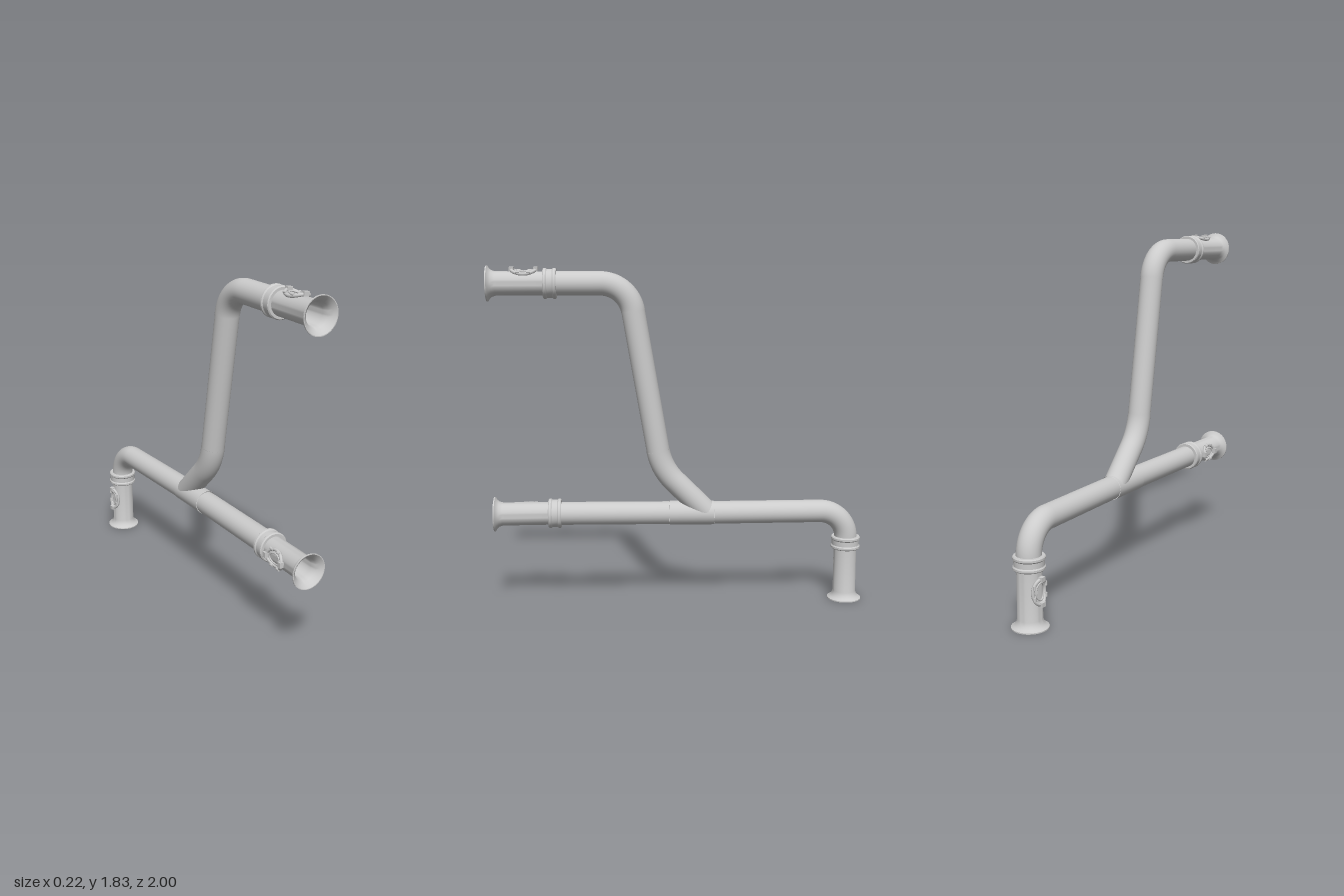
import * as THREE from 'three';
import { toCreasedNormals } from 'three/addons/utils/BufferGeometryUtils.js';

const mat = new THREE.MeshStandardMaterial({ color: 0xcccccc, side: THREE.DoubleSide });
const V = (x, y, z) => new THREE.Vector3(x, y, z);

function add(parent, name, geometry) {
  const mesh = new THREE.Mesh(geometry, mat);
  mesh.name = name;
  parent.add(mesh);
  return mesh;
}

// Straight piece of pipe between two points
function straight(parent, name, a, b, r) {
  add(parent, name, new THREE.TubeGeometry(new THREE.LineCurve3(a, b), 1, r, 32));
}

// Rounded bend around a corner; returns its two ends
function bend(parent, name, before, corner, after, length, r) {
  const d1 = before.clone().sub(corner).normalize();
  const d2 = after.clone().sub(corner).normalize();
  const at = (d, s) => corner.clone().addScaledVector(d, s);
  const half = d1.angleTo(d2) / 2;
  const turn = Math.PI - 2 * half;
  // handle length that makes the curve a circular arc
  const k = length - (4 / 3) * Math.tan(turn / 4) * length * Math.tan(half);
  const a = at(d1, length), b = at(d2, length);
  const curve = new THREE.CubicBezierCurve3(a, at(d1, k), at(d2, k), b);
  add(parent, name, new THREE.TubeGeometry(curve, 20, r, 32));
  return [a, b];
}

function lathe(parent, name, profile) {
  const pts = profile.map(([r, y]) => new THREE.Vector2(r, y));
  return add(parent, name, toCreasedNormals(new THREE.LatheGeometry(pts, 40), 0.6));
}

// Oval loop wrapped onto the pipe wall
function ovalRing(parent, name, length, width, r, thickness) {
  const pts = [];
  for (let i = 0; i < 24; i++) {
    const t = (i / 24) * Math.PI * 2;
    const angle = (width * Math.sin(t)) / r;
    pts.push(V(r * Math.sin(angle), length * Math.cos(t), r * Math.cos(angle)));
  }
  const curve = new THREE.CatmullRomCurve3(pts, true);
  add(parent, name, new THREE.TubeGeometry(curve, 48, thickness, 8, true));
}

// Inspection hatch, lying on the +z side of a pipe along y
function hatch() {
  const g = new THREE.Group();
  g.name = 'inspectionHatch';
  ovalRing(g, 'hatchFrame', 0.062, 0.048, 0.069, 0.009);
  ovalRing(g, 'hatchLidEdge', 0.042, 0.028, 0.066, 0.004);
  for (const s of [-1, 1]) {
    add(g, 'hatchLatch', new THREE.BoxGeometry(0.028, 0.022, 0.022)).position.set(0, s * 0.062, 0.073);
    for (const e of [-1, 1]) {
      const lug = add(g, 'hatchLug', new THREE.CylinderGeometry(0.007, 0.007, 0.02, 10));
      lug.position.set(s * 0.043, e * 0.028, 0.063);
    }
  }
  return g;
}

// Pipe end along +y with its mouth at y = 0: flared rim, hollow pipe, collar, hatch
function endFitting(name, hatchAngle) {
  const g = new THREE.Group();
  g.name = name;
  lathe(g, 'flaredPipe', [
    [0.053, 0.35], [0.053, 0.06], [0.06, 0.03], [0.074, 0.012], [0.088, 0],
    [0.092, 0], [0.092, 0.006], [0.078, 0.014], [0.068, 0.026], [0.062, 0.045], [0.061, 0.35],
  ]);
  lathe(g, 'collar', [
    [0.059, 0.288], [0.074, 0.288], [0.079, 0.293], [0.079, 0.303], [0.074, 0.309],
    [0.074, 0.336], [0.079, 0.342], [0.079, 0.352], [0.075, 0.357], [0.059, 0.357],
  ]);
  const h = hatch();
  h.position.y = 0.19;
  h.rotation.y = hatchAngle;
  g.add(h);
  return g;
}

export function createModel() {
  const root = new THREE.Group();
  root.name = 'branchedPipe';
  const R = 0.0615;

  // Lower run: front end, tee, rear elbow, downpipe
  const lowerFront = V(0.008, 0.515, 0.66);
  const teeFront = V(0.007, 0.51, 0.065);
  const teeBack = V(0.004, 0.507, -0.175);
  const elbow = V(-0.022, 0.5, -0.91);
  const down = V(-0.024, 0.33, -0.91);
  straight(root, 'lowerPipeFront', lowerFront, teeFront, R);
  straight(root, 'teeSleeve', teeFront, teeBack, 0.0645);
  const [elbowIn, elbowOut] = bend(root, 'rearElbow', teeBack, elbow, down, 0.15, R);
  straight(root, 'lowerPipeBack', teeBack, elbowIn, R);
  straight(root, 'downpipe', elbowOut, down, R);

  // Upper run: branch out of the tee, sloping riser, top elbow
  const branchRoot = V(0.005, 0.507, -0.142);
  const low = V(0.011, 0.756, 0.107);
  const high = V(0.012, 1.735, 0.275);
  const upperFront = V(0.013, 1.735, 0.66);
  const [branchEnd, riserLow] = bend(root, 'branchBend', branchRoot, low, high, 0.1, R + 0.001);
  const [riserHigh, topEnd] = bend(root, 'topElbow', low, high, upperFront, 0.145, R + 0.001);
  straight(root, 'branch', branchRoot, branchEnd, R + 0.001);
  straight(root, 'riser', riserLow, riserHigh, R);
  straight(root, 'upperPipe', topEnd, upperFront, R + 0.001);

  // Three matching open ends
  const bottomEnd = endFitting('bottomEnd', -Math.PI / 2);
  bottomEnd.position.set(-0.025, 0, -0.91);
  const lowerEnd = endFitting('lowerFrontEnd', -Math.PI / 2);
  lowerEnd.position.set(0.006, 0.516, 1);
  lowerEnd.rotation.x = -Math.PI / 2;
  const upperEnd = endFitting('upperFrontEnd', 0.1);
  upperEnd.position.set(0.013, 1.735, 1);
  upperEnd.rotation.x = -Math.PI / 2;
  root.add(bottomEnd, lowerEnd, upperEnd);

  return root;
}
